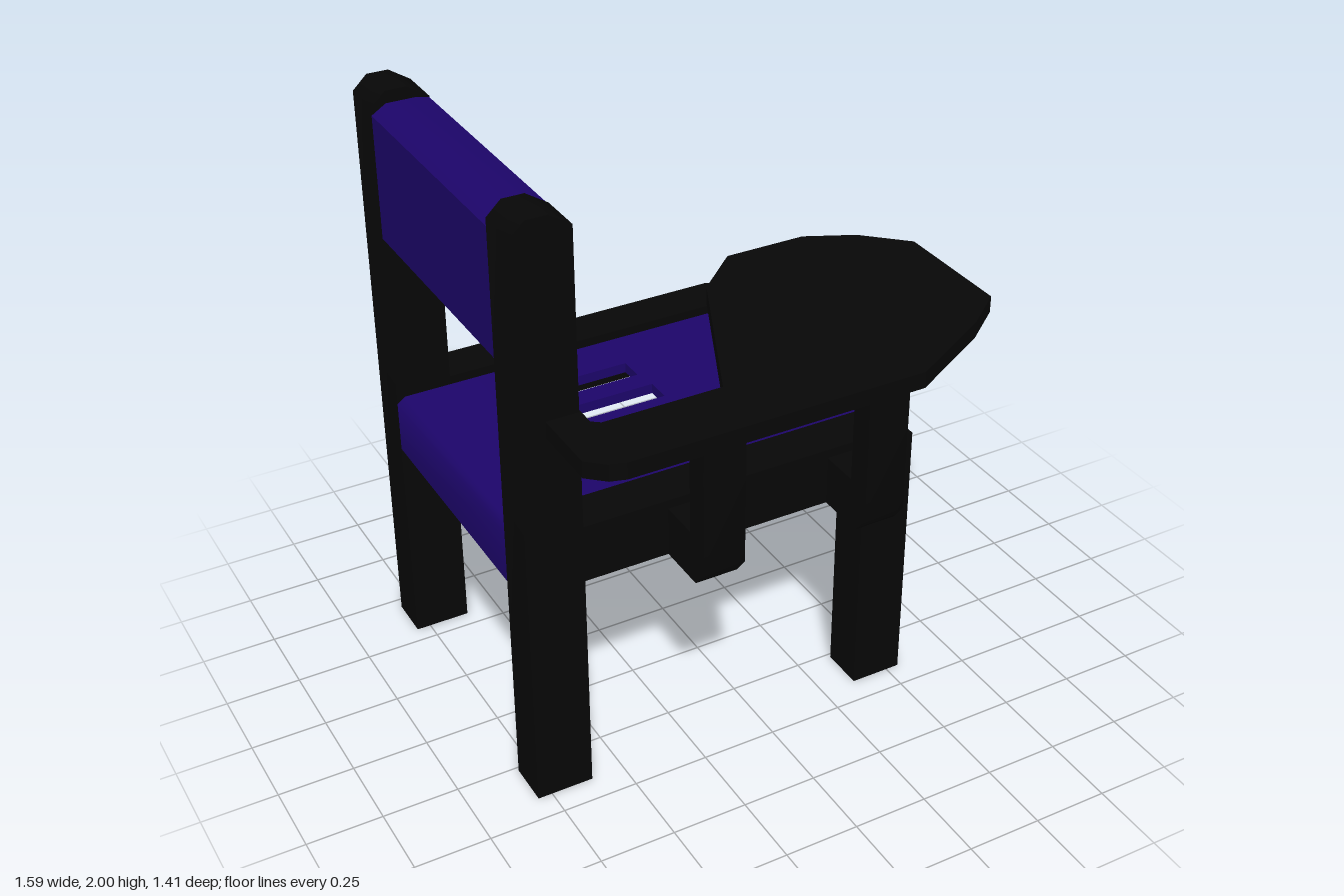
import * as THREE from 'three';
import { toCreasedNormals } from 'three/addons/utils/BufferGeometryUtils.js';

const black = new THREE.MeshStandardMaterial({ color: 0x070707 });
black.name = 'black frame';
const purple = new THREE.MeshStandardMaterial({ color: 0x1c0569 });
purple.name = 'purple panel';

const outline = (points) => new THREE.Shape(points.map(([a, b]) => new THREE.Vector2(a, b)));

// Extrude a side profile (x, y) from z0 to z1, with softened chamfers
function sideExtrude(points, z0, z1) {
  const geometry = new THREE.ExtrudeGeometry(outline(points), { depth: z1 - z0, bevelEnabled: false });
  return toCreasedNormals(geometry.translate(0, 0, z0), 1);
}

// Extrude a plan outline (x, z) from y0 to y1
function planExtrude(shape, y0, y1) {
  return new THREE.ExtrudeGeometry(shape, { depth: y1 - y0, bevelEnabled: false })
    .rotateX(Math.PI / 2).translate(0, y1, 0);
}

export function createModel() {
  const group = new THREE.Group();
  const add = (name, geometry, material) => {
    const mesh = new THREE.Mesh(geometry, material);
    mesh.name = name;
    group.add(mesh);
  };

  // Side frames: back post, rail and front leg in one profile
  const frame = [
    [-0.797, 0], [-0.61, 0], [-0.61, 0.775], [0.37, 0.775], [0.37, 0], [0.545, 0], [0.545, 0.935],
    [0.43, 0.97], [-0.61, 0.97], [-0.61, 1.955], [-0.68, 2], [-0.75, 2], [-0.797, 1.955],
  ];
  add('leftFrame', sideExtrude(frame, 0.265, 0.412), black);
  add('rightFrame', sideExtrude(frame, -0.707, -0.56), black);

  // Backrest panel with a slightly crowned top
  add('backrest', sideExtrude([
    [-0.797, 1.52], [-0.61, 1.52], [-0.61, 1.95], [-0.65, 1.96], [-0.75, 1.96], [-0.797, 1.93],
  ], -0.56, 0.265), purple);

  // Seat panel with three slots
  const seat = outline([[-0.45, -0.56], [0.515, -0.56], [0.515, 0.265], [-0.45, 0.265]]);
  for (const [x0, x1, z0, z1] of [
    [-0.33, -0.05, -0.4, -0.315], [-0.35, -0.035, -0.24, -0.155], [-0.33, -0.05, -0.07, 0.01],
  ]) {
    seat.holes.push(new THREE.Path([[x0, z0], [x0, z1], [x1, z1], [x1, z0]].map(([x, z]) => new THREE.Vector2(x, z))));
  }
  add('seatPanel', planExtrude(seat, 0.905, 0.94), purple);

  // Turned-down lips at the front and back of the seat
  add('seatFrontLip', sideExtrude([
    [0.515, 0.775], [0.545, 0.775], [0.545, 0.93], [0.535, 0.94], [0.515, 0.94],
  ], -0.56, 0.265), purple);
  add('seatBackLip', sideExtrude([
    [-0.797, 0.747], [-0.75, 0.747], [-0.68, 0.78], [-0.6, 0.87], [-0.45, 0.905],
    [-0.45, 0.94], [-0.77, 0.94], [-0.797, 0.92],
  ], -0.56, 0.265), purple);

  // Writing tablet with its arm reaching back to the post
  add('writingTablet', planExtrude(outline([
    [-0.19, 0.49], [0.06, -0.05], [0.22, -0.197], [0.5, -0.197], [0.66, -0.12], [0.797, 0.01], [0.797, 0.43],
    [0.66, 0.54], [0.365, 0.705], [-0.61, 0.705], [-0.66, 0.69], [-0.715, 0.64], [-0.715, 0.38],
    [-0.605, 0.38], [-0.605, 0.47], [-0.58, 0.49],
  ]), 1.31, 1.365), black);

  // L-shaped tablet supports: a foot on the rail and an upright
  const support = [
    [0.4, 0.775], [0.58, 0.775], [0.627, 0.835], [0.627, 1.32], [0.545, 1.32], [0.545, 0.94], [0.4, 0.94],
  ].map(([z, y]) => [-z, y]);
  for (const [name, x] of [['rearTabletSupport', -0.33], ['frontTabletSupport', 0.23]]) {
    add(name, sideExtrude(support, 0, 0.14).rotateY(Math.PI / 2).translate(x, 0, 0), black);
  }
  return group;
}
